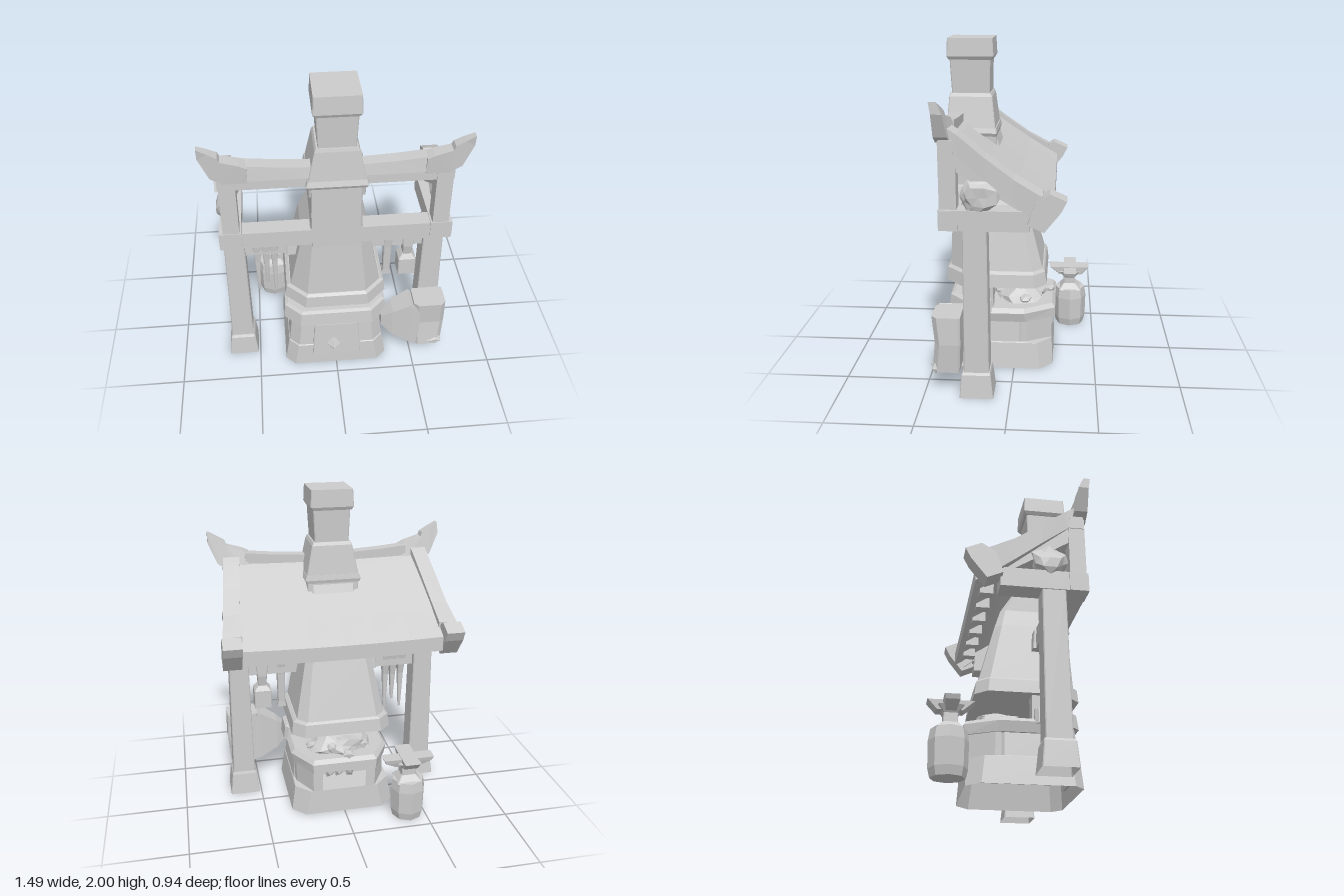
import * as THREE from 'three';

// Double sided because the hearth and feet are hollow shells
const stone = new THREE.MeshStandardMaterial({ color: 0xcccccc, side: THREE.DoubleSide });
stone.name = 'lightGrey';
let root;

function add(name, geometry) {
  const g = geometry.index ? geometry.toNonIndexed() : geometry;
  g.computeVertexNormals(); // unshared corners give flat facets
  const mesh = new THREE.Mesh(g, stone);
  mesh.name = name;
  root.add(mesh);
  return mesh;
}

// Skin over a row of rings; each ring is an even list of [x, y, z]
function loft(name, rings, openStart = false) {
  const tris = [];
  const n = rings[0].length;
  const quad = (a, b, c, d) => tris.push([a, b, c], [a, c, d]);
  for (let r = 0; r < rings.length - 1; r++)
    for (let i = 0; i < n; i++) {
      const j = (i + 1) % n;
      quad(rings[r][i], rings[r][j], rings[r + 1][j], rings[r + 1][i]);
    }
  for (let i = 0; i < n / 2 - 1; i++) {
    const cap = [i, i + 1, n - 2 - i, n - 1 - i];
    if (!openStart) quad(...cap.map(k => rings[0][k]).reverse());
    quad(...cap.map(k => rings[rings.length - 1][k]));
  }
  // turn the skin outward if its volume is negative
  const v = p => new THREE.Vector3(...p);
  let volume = 0;
  for (const [a, b, c] of tris) volume += v(a).dot(v(b).cross(v(c)));
  if (volume < 0) tris.forEach(t => t.reverse());
  const g = new THREE.BufferGeometry();
  g.setAttribute('position', new THREE.Float32BufferAttribute(tris.flat(2), 3));
  return add(name, g);
}

// Stacked chamfered rectangles:
// [y, halfWidth, zBack, zFront, chamferBack, chamferFront, chamferBack along z]
function stack(name, levels, cx = 0, openStart = false) {
  return loft(name, levels.map(([y, w, b, f, cb = 0.005, cf = 0.005, cz = cb]) => [
    [cx - w + cf, y, f], [cx + w - cf, y, f], [cx + w, y, f - cf], [cx + w, y, b + cz],
    [cx + w - cb, y, b], [cx - w + cb, y, b], [cx - w, y, b + cz], [cx - w, y, f - cf]]), openStart);
}

// Box from its limits
function box(name, x0, x1, y0, y1, z0, z1) {
  const g = new THREE.BoxGeometry(Math.abs(x1 - x0), y1 - y0, z1 - z0);
  return add(name, g.translate((x0 + x1) / 2, (y0 + y1) / 2, (z0 + z1) / 2));
}

// Rough rock: a sphere of facets shifted by a fixed hash of position
function rock(name, x, y, z, rx, ry, rz, detail = 1, rough = 0.25) {
  const g = new THREE.IcosahedronGeometry(1, detail);
  const p = g.attributes.position;
  for (let i = 0; i < p.count; i++) {
    const s = Math.sin(Math.round(p.getX(i) * 50) * 12.9 + Math.round(p.getY(i) * 50) * 78.2
      + Math.round(p.getZ(i) * 50) * 37.7 + x * 90 + z * 50) * 437.5;
    const k = 1 - rough * (s - Math.floor(s));
    p.setXYZ(i, p.getX(i) * k, p.getY(i) * k, p.getZ(i) * k);
  }
  return add(name, g.scale(rx, ry, rz).translate(x, y, z));
}

export function createModel() {
  root = new THREE.Group();
  root.name = 'forge';

  // Hearth base, hollow below, stepping in to an open niche at the back
  stack('hearthBase', [[0, 0.33, -0.24, 0.415, 0.08, 0.06], [0.16, 0.305, -0.23, 0.405, 0.09, 0.06],
    [0.165, 0.30, -0.05, 0.40, 0.02, 0.06], [0.36, 0.28, -0.05, 0.385, 0.02, 0.06]], 0, true);
  for (const s of [-1, 1]) {
    loft('nicheWall', [0.16, 0.31].map(y => [[s * 0.29, y, -0.045], [s * 0.285, y, -0.08],
      [s * 0.20, y, -0.23], [s * 0.14, y, -0.23], [s * 0.19, y, -0.12], [s * 0.19, y, -0.045]]));
    box('hoodSupport', s * 0.20, s * 0.28, 0.38, 0.55, 0.13, 0.26);
  }
  for (const x of [-0.06, 0.01, 0.07]) rock('nicheEmber', x, 0.24, -0.10, 0.04, 0.08, 0.045, 0);
  stack('hearthTray', [[0.30, 0.30, -0.25, 0.3, 0.10, 0.02, 0.18], [0.36, 0.315, -0.25, 0.3, 0.11, 0.02, 0.19],
    [0.385, 0.29, -0.23, 0.3, 0.10, 0.02, 0.17]]);
  stack('frontCollar', [[0.35, 0.33, 0.14, 0.41, 0.02, 0.1], [0.44, 0.32, 0.14, 0.40, 0.02, 0.1],
    [0.45, 0.30, 0.15, 0.38, 0.02, 0.09]]);
  stack('fireDoor', [[0.09, 0.155, 0.395, 0.425], [0.34, 0.14, 0.375, 0.405]]);
  const knob = add('doorKnob', new THREE.OctahedronGeometry(0.05).scale(0.95, 1.15, 1));
  knob.position.set(-0.02, 0.18, 0.415);

  // Bed of coals
  rock('coalHeap', 0, 0.38, -0.03, 0.23, 0.12, 0.19, 2, 0.25);
  for (let i = 0; i < 16; i++) {
    const a = i * 2.4, r = 0.03 + 0.01 * i;
    rock('coal', Math.cos(a) * r * 1.15, 0.47 - r * 0.42, -0.03 + Math.sin(a) * r, 0.045, 0.035, 0.045, 0);
  }

  // Hood and chimney
  stack('hoodRim', [[0.53, 0.315, -0.195, 0.425, 0.07, 0.12], [0.61, 0.305, -0.185, 0.42, 0.07, 0.12],
    [0.625, 0.285, -0.175, 0.405, 0.06, 0.11]]);
  stack('hood', [[0.62, 0.28, -0.17, 0.40, 0.06, 0.10], [1.0, 0.205, -0.07, 0.385, 0.04, 0.06],
    [1.13, 0.15, -0.03, 0.385, 0.03, 0.01], [1.27, 0.145, 0.06, 0.39, 0.02, 0.01],
    [1.44, 0.145, 0.125, 0.395, 0.02, 0.01]]);
  box('hoodFrontSlab', -0.145, 0.135, 1.0, 1.44, 0.3, 0.40);
  stack('chimneyBand', [[1.43, 0.165, 0.115, 0.415], [1.45, 0.175, 0.11, 0.425], [1.48, 0.165, 0.115, 0.415]]);
  stack('chimneyFlare', [[1.36, 0.16, 0.115, 0.39], [1.48, 0.162, 0.12, 0.41], [1.66, 0.125, 0.14, 0.395],
    [1.68, 0.115, 0.15, 0.39]]);
  stack('chimneyShaft', [[1.67, 0.105, 0.155, 0.38], [1.89, 0.115, 0.15, 0.39]]);
  stack('chimneyCap', [[1.875, 0.12, 0.14, 0.395], [1.895, 0.133, 0.13, 0.405], [2, 0.128, 0.135, 0.40]]);

  // Timber frame, mirrored on both sides
  for (const s of [-1, 1]) {
    stack('postFoot', [[0, 0.095, 0.095, 0.29], [0.14, 0.08, 0.11, 0.28], [0.155, 0.07, 0.115, 0.27]],
      s * 0.607, true);
    stack('post', [[0.15, 0.07, 0.12, 0.265], [1.02, 0.06, 0.125, 0.26]], s * 0.608);
    box('sideBeam', s * 0.55, s * 0.675, 1.01, 1.125, -0.11, 0.39);
    box('frontBeam', s * 0.13, s * 0.68, 1.01, 1.12, 0.28, 0.385);
    box('upperPost', s * 0.56, s * 0.655, 1.11, 1.5, 0.29, 0.385);
    box('topBeam', s * 0.12, s * 0.66, 1.43, 1.51, 0.30, 0.38);
    const rafter = [[0.30, 1.46], [-0.12, 1.16], [-0.12, 1.08], [0.30, 1.34]];
    loft('rafter', [0.56, 0.65].map(x => rafter.map(([z, y]) => [s * x, y, z])));
    rock('gableStone', s * 0.64, 1.2, 0.17, 0.065, 0.12, 0.13, 1, 0.35);

    // Rim board following the roof slope: [z, top, bottom, inner x, outer x]
    loft('roofRim', [[0.36, 1.60, 1.49, 0.55, 0.655], [0.28, 1.55, 1.42, 0.56, 0.66],
      [0.13, 1.43, 1.30, 0.58, 0.68], [-0.03, 1.315, 1.17, 0.595, 0.695], [-0.18, 1.23, 1.05, 0.60, 0.715]]
      .map(([z, t, b, i, o]) => [[s * i, t, z], [s * o, t - 0.01, z], [s * o, b, z], [s * i, b, z]]));
    const block = [[-0.14, 1.19], [-0.22, 1.24], [-0.31, 1.2], [-0.28, 1.14], [-0.19, 1.025], [-0.10, 1.065]];
    loft('rimEndBlock', [0.61, 0.722].map(x => block.map(([z, y]) => [s * x, y, z])));

    // Upswept ridge horn: [x, top, bottom, z back]
    loft('ridgeHorn', [[0.49, 1.59, 1.49, 0.31], [0.53, 1.61, 1.49, 0.305], [0.63, 1.64, 1.49, 0.32],
      [0.64, 1.665, 1.5, 0.325], [0.69, 1.695, 1.53, 0.335], [0.745, 1.725, 1.66, 0.35]]
      .map(([x, t, b, z]) => [[s * x, t, z + 0.02], [s * x, t, 0.41], [s * x, b, 0.40], [s * x, b, z - 0.01]]));
  }

  // Gently sagging roof slab and ridge
  const slope = [[0.36, 1.56], [0.28, 1.51], [0.13, 1.40], [-0.05, 1.275], [-0.24, 1.155]];
  const stations = [-1, -0.66, -0.33, 0, 0.33, 0.66, 1];
  loft('roof', stations.map(t => {
    const top = slope.map(([z, y]) => [t * (0.595 - z * 0.07), y - 0.01 * (1 - t * t), z]);
    return [...top, ...top.map(([x, y, z]) => [x, y - 0.09, z]).reverse()];
  }));
  loft('ridge', stations.map(t => {
    const y = 1.565 + 0.03 * t * t;
    return [[t * 0.52, y, 0.31], [t * 0.52, y, 0.39], [t * 0.52, 1.5, 0.40], [t * 0.52, 1.48, 0.31]];
  }));
  for (let i = 0; i < 6; i++) {
    const x = -0.45 + i * 0.18;
    box('rafterEnd', x - 0.03, x + 0.03, 1.06, 1.14, -0.2, -0.12);
  }

  // Tool rails between hood and posts
  stack('leftRailKnot', [[0.82, 0.045, 0.14, 0.25], [0.94, 0.04, 0.15, 0.24]], -0.25);
  box('toolRail', -0.56, -0.2, 0.82, 0.91, 0.16, 0.23);
  box('toolRail', 0.2, 0.56, 0.83, 0.91, 0.16, 0.23);

  // Tongs and rods on one rail
  for (const [x, y] of [[-0.475, 0.50], [-0.42, 0.56], [-0.37, 0.49]]) {
    stack('tong', [[y, 0.008, 0.19, 0.205], [0.75, 0.018, 0.18, 0.22], [0.92, 0.028, 0.15, 0.24]], x);
  }
  // Chisel and hammer on the other rail
  stack('chisel', [[0.58, 0.03, 0.18, 0.22], [0.62, 0.022, 0.18, 0.22], [0.82, 0.025, 0.17, 0.23],
    [0.92, 0.03, 0.15, 0.24], [0.94, 0.015, 0.17, 0.22]], 0.335);
  stack('hammerHandle', [[0.72, 0.025, 0.17, 0.22], [0.82, 0.03, 0.15, 0.24], [0.94, 0.045, 0.15, 0.24]], 0.46);
  stack('hammerHead', [[0.60, 0.055, 0.14, 0.25], [0.72, 0.055, 0.14, 0.25], [0.75, 0.03, 0.16, 0.23]], 0.46);

  // Bellows: nozzle swelling into a wide board
  loft('bellowsBag', [[0.29, 0.36, 0.29, 0.32, 0.38], [0.36, 0.42, 0.22, 0.29, 0.41],
    [0.47, 0.49, 0.16, 0.28, 0.43], [0.53, 0.44, 0.14, 0.28, 0.44]]
    .map(([x, t, b, z0, z1]) => [[x, t, z0], [x, t, z1], [x, b, z1], [x, b, z0]]));
  stack('bellowsBoard', [[0.15, 0.09, 0.29, 0.45, 0.01, 0.03], [0.33, 0.105, 0.28, 0.43, 0.01, 0.03],
    [0.495, 0.10, 0.28, 0.445, 0.01, 0.03]], 0.59);
  rock('bellowsFoot', 0.64, 0.17, 0.43, 0.06, 0.04, 0.04, 0);

  // Anvil on a rounded stump
  const stumpProfile = [[0, 0], [0.095, 0], [0.107, 0.05], [0.11, 0.2], [0.1, 0.265], [0, 0.275]];
  const stump = add('stump', new THREE.LatheGeometry(stumpProfile.map(p => new THREE.Vector2(...p)), 8));
  stump.position.set(-0.385, 0, -0.345);
  stack('anvilWaist', [[0.26, 0.08, -0.42, -0.27], [0.30, 0.045, -0.38, -0.30], [0.35, 0.045, -0.38, -0.30],
    [0.39, 0.07, -0.41, -0.27]], -0.38);
  stack('anvilFace', [[0.365, 0.045, -0.42, -0.27], [0.42, 0.05, -0.47, -0.205]], -0.38);
  stack('anvilHorns', [[0.36, 0.09, -0.37, -0.31], [0.39, 0.15, -0.38, -0.30], [0.415, 0.16, -0.385, -0.30]], -0.38);

  return root;
}
